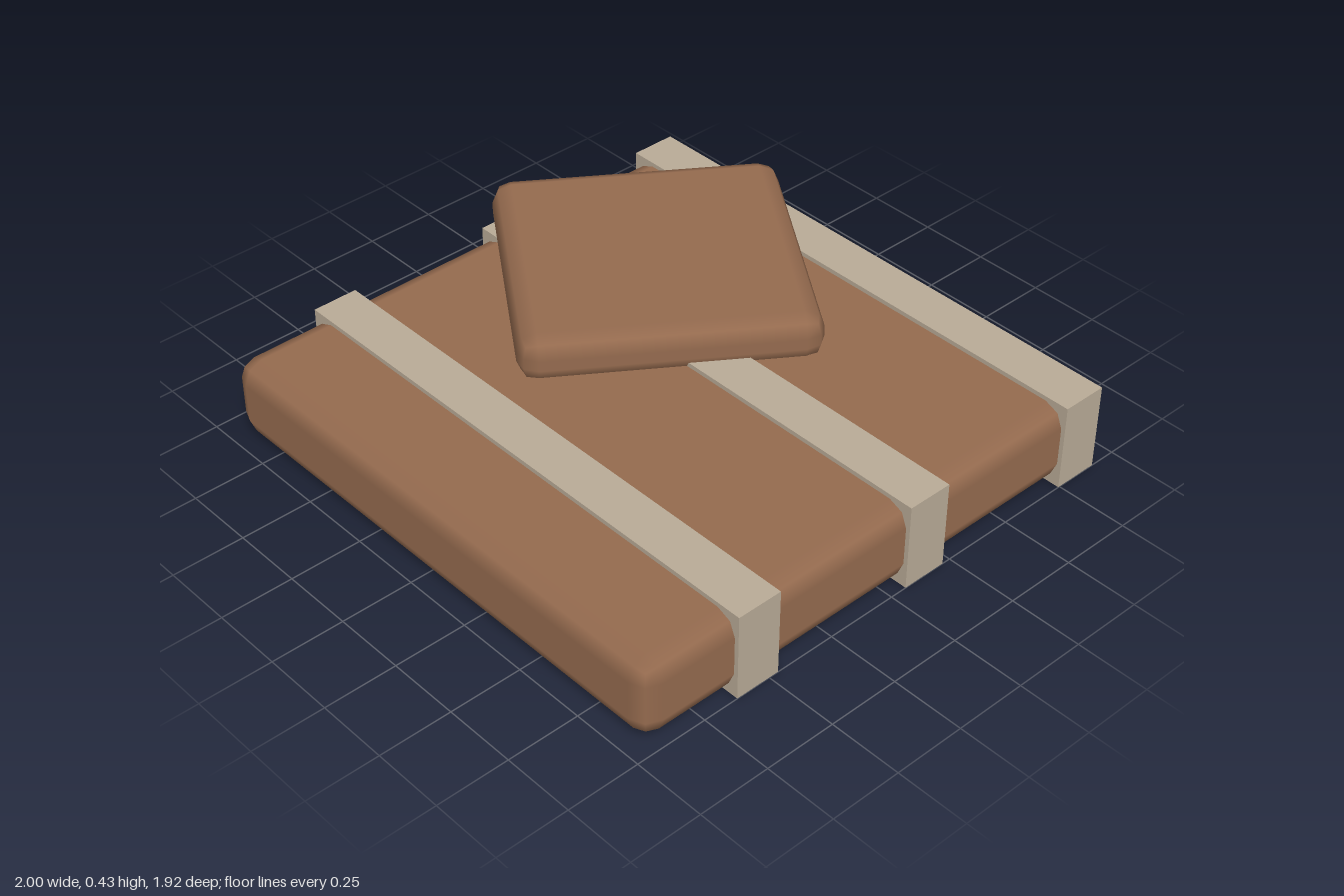
import * as THREE from 'three';
import { RoundedBoxGeometry } from 'three/addons/geometries/RoundedBoxGeometry.js';

export function createModel() {
  const group = new THREE.Group();
  const brown = new THREE.MeshStandardMaterial({ name: 'brown cloth', color: 0x946a4e });
  const beige = new THREE.MeshStandardMaterial({ name: 'beige strap', color: 0xb8aa96 });

  const add = (name, geometry, material, x, y, z) => {
    const mesh = new THREE.Mesh(geometry, material);
    mesh.name = name;
    mesh.position.set(x, y, z);
    group.add(mesh);
    return mesh;
  };

  // Large soft-edged mat
  add('mat', new RoundedBoxGeometry(1.915, 0.275, 1.92, 1, 0.07), brown, 0.027, 0.152, 0);

  // Three straps wrapped around the mat
  const strap = new THREE.BoxGeometry(1.945, 0.305, 0.16);
  for (const z of [-0.825, -0.14, 0.545]) add('strap', strap, beige, 0.027, 0.1525, z);

  // Small pillow lying askew on top
  const pillow = add('pillow', new RoundedBoxGeometry(0.963, 0.167, 0.963, 1, 0.065), brown, -0.357, 0.343, -0.29);
  pillow.rotation.y = THREE.MathUtils.degToRad(-34.5);

  return group;
}
